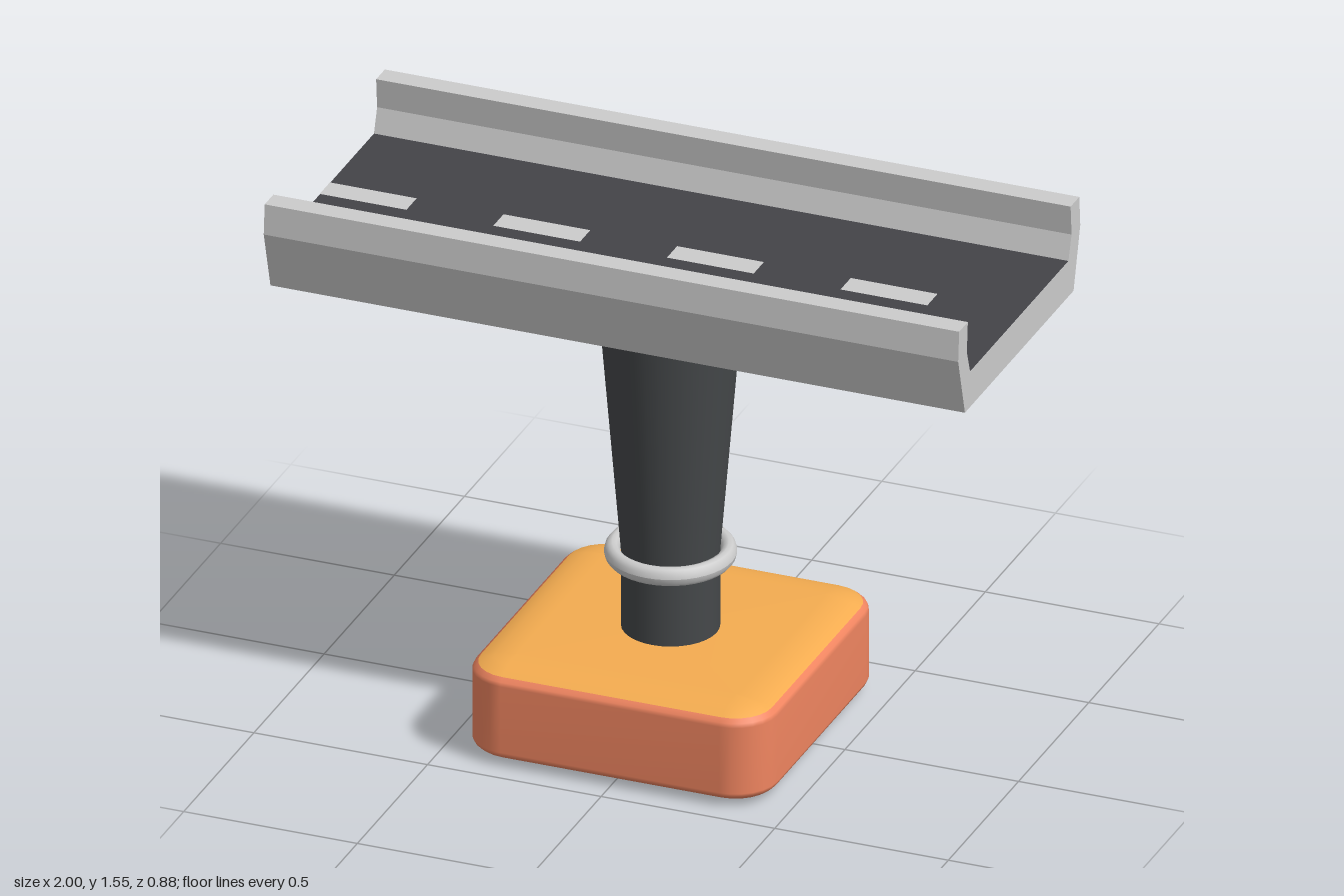
import * as THREE from 'three';

const material = (color, side = THREE.FrontSide) => new THREE.MeshStandardMaterial({ color, side });

function addMesh(parent, name, geometry, mat, x = 0, y = 0, z = 0) {
  const mesh = new THREE.Mesh(geometry, mat);
  mesh.name = name;
  mesh.position.set(x, y, z);
  parent.add(mesh);
  return mesh;
}

// Skin of square rings with rounded corners; each ring is [corner radius, height].
// The corner centres sit at (+-c, +-c); optional caps close the last or first ring.
function roundedShell(c, rings, capTop, capBottom) {
  const steps = 6, count = 4 * (steps + 1);
  const positions = [], index = [];
  for (const [r, y] of rings) {
    for (let q = 0; q < 4; q++) {
      const mid = (q + 0.5) * Math.PI / 2;
      for (let s = 0; s <= steps; s++) {
        const a = (q + s / steps) * Math.PI / 2;
        positions.push(Math.sign(Math.cos(mid)) * c + r * Math.cos(a), y, Math.sign(Math.sin(mid)) * c + r * Math.sin(a));
      }
    }
  }
  for (let k = 0; k < rings.length - 1; k++) {
    for (let i = 0; i < count; i++) {
      const j = (i + 1) % count, a = k * count, b = a + count;
      index.push(a + i, b + i, a + j, a + j, b + i, b + j);
    }
  }
  const cap = (start, up) => {
    const y = positions[start * 3 + 1], centre = positions.length / 3;
    positions.push(0, y, 0);
    for (let i = 0; i < count; i++) {
      const j = (i + 1) % count;
      if (up) index.push(centre, start + j, start + i);
      else index.push(centre, start + i, start + j);
    }
  };
  if (capTop) cap((rings.length - 1) * count, true);
  if (capBottom) cap(0, false);
  const geometry = new THREE.BufferGeometry();
  geometry.setAttribute('position', new THREE.Float32BufferAttribute(positions, 3));
  geometry.setIndex(index);
  geometry.computeVertexNormals();
  return geometry;
}

export function createModel() {
  const model = new THREE.Group();
  model.name = 'bridgeSection';
  const grey = material(0xcccccc);
  const dark = material(0x45484a);
  const asphalt = material(0x434348);
  const deckZ = -0.005, pierZ = 0.005;

  // Footing: soft-edged block with a differently coloured top
  const height = 0.283, radius = 0.12, bevel = 0.043, corner = 0.315;
  const ring = (deg, top) => {
    const a = THREE.MathUtils.degToRad(deg);
    const drop = bevel * (1 - Math.sin(a));
    return [Math.max(radius * Math.cos(a), 0.0005), top ? height - drop : drop];
  };
  const lower = [90, 75, 60, 45, 30, 15, 0].map(d => ring(d, false));
  const sides = [0, 15, 30].map(d => ring(d, true));
  const upper = [30, 45, 60, 75, 90].map(d => ring(d, true));
  addMesh(model, 'footing', roundedShell(corner, [...lower, ...sides], false, true), material(0xf08560), 0, 0, pierZ);
  addMesh(model, 'footingTop', roundedShell(corner, upper, true, false), material(0xf4ac50), 0, 0, pierZ);

  // Pier: straight neck below, flared column above
  addMesh(model, 'pierNeck', new THREE.CylinderGeometry(0.133, 0.133, 0.25, 32), dark, 0, 0.385, pierZ);
  addMesh(model, 'pierColumn', new THREE.CylinderGeometry(0.197, 0.133, 0.775, 32), dark, 0, 0.8975, pierZ);

  // Collar around the joint
  const collar = [];
  for (let i = 0; i <= 12; i++) {
    const a = i / 12 * Math.PI * 2;
    collar.push(new THREE.Vector2(0.156 + 0.022 * Math.cos(a), 0.027 * Math.sin(a)));
  }
  addMesh(model, 'collar', new THREE.LatheGeometry(collar, 40), grey, 0, 0.505, pierZ);

  // Deck: trough section with kinked parapets, mirrored across the middle
  const half = [[0.387, 1.285], [0.435, 1.46], [0.428, 1.547], [0.366, 1.547], [0.373, 1.46], [0.35, 1.39]];
  const outline = [...half, ...half.map(([x, y]) => [-x, y]).reverse()];
  const section = new THREE.Shape(outline.map(([x, y]) => new THREE.Vector2(x, y)));
  const deck = new THREE.ExtrudeGeometry(section, { depth: 2, bevelEnabled: false });
  deck.translate(0, 0, -1).rotateY(Math.PI / 2);
  addMesh(model, 'deck', deck, grey, 0, 0, deckZ);

  // Road surface and dark underside
  const plane = (w, d, up) => new THREE.PlaneGeometry(w, d).rotateX(up ? -Math.PI / 2 : Math.PI / 2);
  addMesh(model, 'roadSurface', plane(2, 0.702, true), asphalt, 0, 1.3915, deckZ);
  addMesh(model, 'deckUnderside', plane(2, 0.774, false), asphalt, 0, 1.2835, deckZ);

  // Centre line dashes
  for (let i = 0; i < 4; i++) {
    addMesh(model, 'laneDash', plane(0.25, 0.073, true), grey, -0.875 + i * 0.5, 1.3935, deckZ);
  }
  return model;
}
